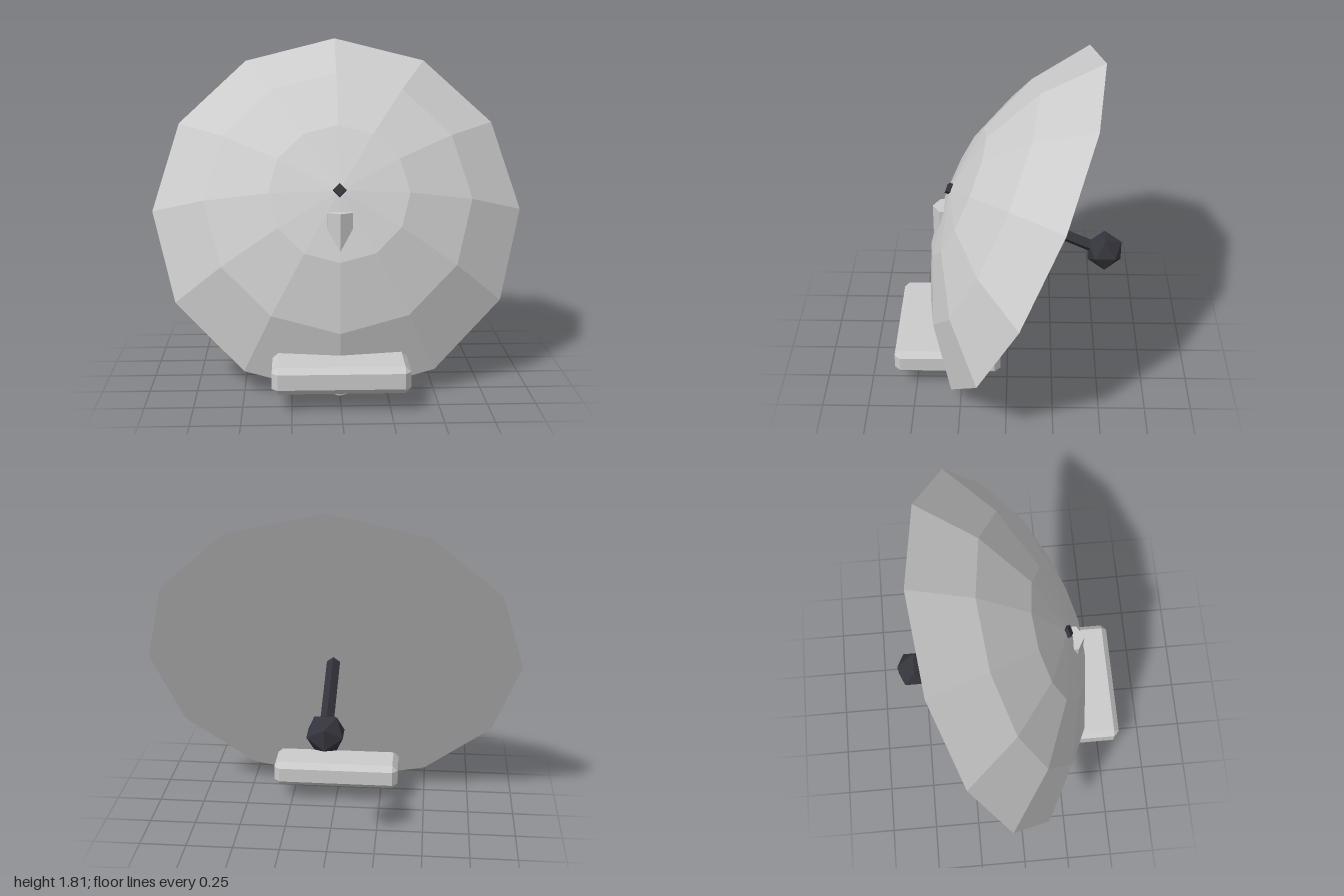
import * as THREE from 'three';
import { ConvexGeometry } from 'three/addons/geometries/ConvexGeometry.js';

const grey = new THREE.MeshStandardMaterial({ color: 0xcccccc, flatShading: true });
const dark = new THREE.MeshStandardMaterial({ color: 0x34343c, flatShading: true });

function addPart(parent, name, geometry, material, x = 0, y = 0, z = 0) {
  const mesh = new THREE.Mesh(geometry, material);
  mesh.name = name;
  mesh.position.set(x, y, z);
  parent.add(mesh);
  return mesh;
}

// Box with a single flat chamfer on every edge
function chamferedBox(w, h, d, c) {
  const half = [w / 2, h / 2, d / 2];
  const points = [];
  for (const sx of [-1, 1]) for (const sy of [-1, 1]) for (const sz of [-1, 1]) {
    for (let face = 0; face < 3; face++) {
      const [x, y, z] = half.map((v, i) => (i === face ? v : v - c));
      points.push(new THREE.Vector3(sx * x, sy * y, sz * z));
    }
  }
  return new ConvexGeometry(points);
}

export function createModel() {
  const model = new THREE.Group();
  model.name = 'dishAntenna';

  // Base block and the upright post standing on it
  addPart(model, 'base', chamferedBox(0.7, 0.14, 0.58, 0.03), grey, 0, 0.17, 0.325);
  addPart(model, 'post', new THREE.CylinderGeometry(0.075, 0.075, 0.81, 6), grey, 0, 0.575, 0.325);

  // Tilted assembly: local +y is the dish axis, pointing out of the domed side
  const tilted = new THREE.Group();
  tilted.name = 'dishAssembly';
  tilted.position.set(0, 0.91, -0.07);
  tilted.rotation.x = THREE.MathUtils.degToRad(65);
  model.add(tilted);

  // Dish: shallow spherical cap closed by a flat face
  const profile = [new THREE.Vector2(0, 0)];
  for (const degrees of [45, 30, 15, 0]) {
    const a = THREE.MathUtils.degToRad(degrees);
    profile.push(new THREE.Vector2(Math.SQRT2 * Math.sin(a), Math.SQRT2 * Math.cos(a) - 1));
  }
  addPart(tilted, 'dish', new THREE.LatheGeometry(profile, 12), grey);

  // Feed rod running through the dish along its axis
  addPart(tilted, 'feedRod', new THREE.CylinderGeometry(0.035, 0.035, 0.93, 4), dark, 0, -0.035, 0);

  // Receiver at the end of the rod
  addPart(model, 'receiver', new THREE.IcosahedronGeometry(0.107, 0), dark, 0, 0.7, -0.53);

  return model;
}
